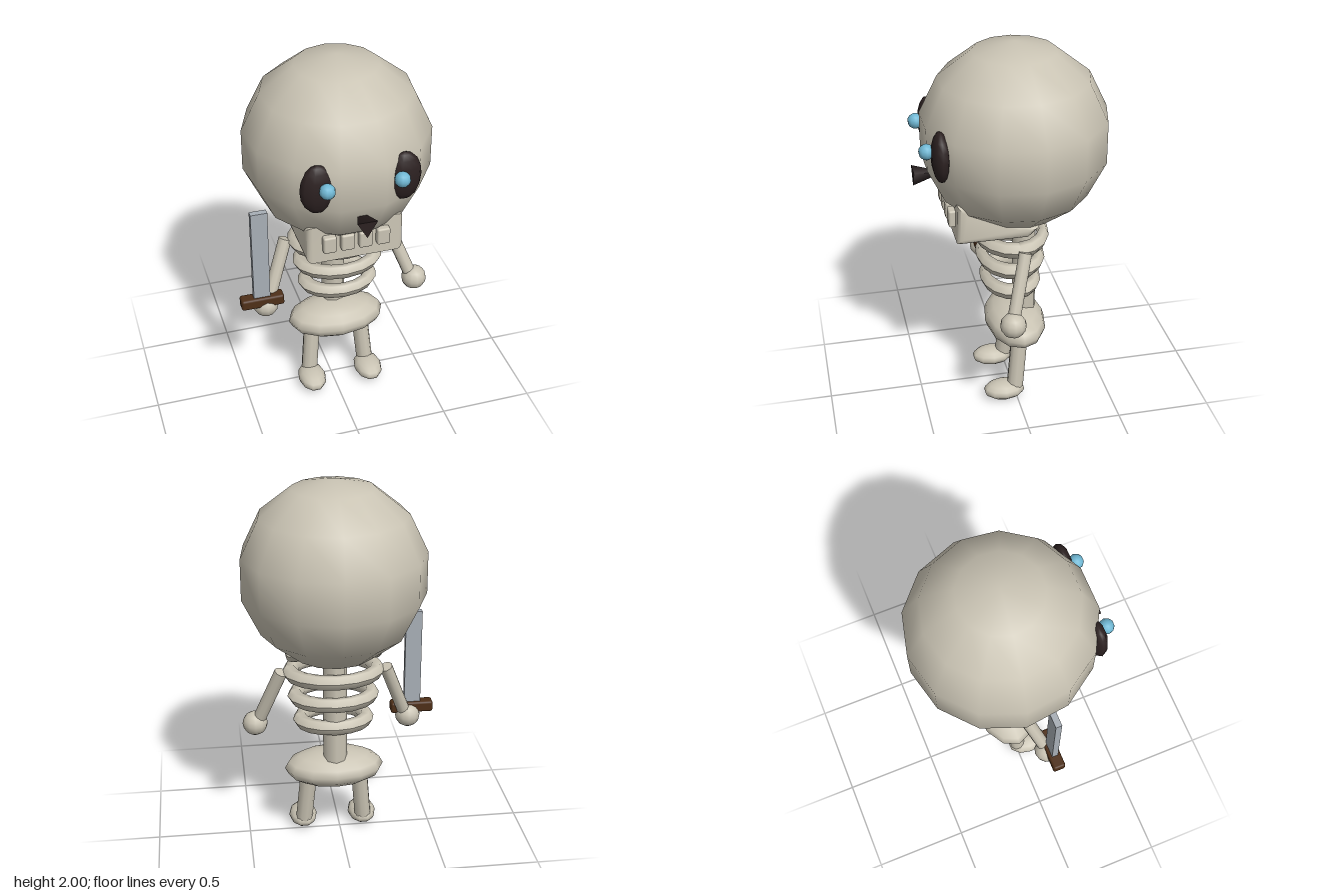
import * as THREE from 'three';
import { toCreasedNormals } from 'three/addons/utils/BufferGeometryUtils.js';
import { RoundedBoxGeometry } from 'three/addons/geometries/RoundedBoxGeometry.js';

const mat = (name, color) => {
  const m = new THREE.MeshStandardMaterial({ color });
  m.name = name;
  return m;
};

export function createModel() {
  const bone = mat('bone', 0xcac4b4);
  const dark = mat('socket black', 0x2c2121);
  const blue = mat('eye blue', 0x70b8d4);
  const steel = mat('steel', 0xa8afb7);
  const wood = mat('wood', 0x4e2f18);

  const root = new THREE.Group();
  root.name = 'skeleton';
  const MID = 0.034; // the body's mirror plane

  const add = (name, geo, material, x, y, z) => {
    const m = new THREE.Mesh(geo, material);
    m.name = name;
    m.position.set(x, y, z);
    root.add(m);
    return m;
  };
  const ellipsoid = (name, material, [x, y, z], [rx, ry, rz], w = 12, h = 8) => {
    const m = add(name, new THREE.SphereGeometry(1, w, h), material, x, y, z);
    m.scale.set(rx, ry, rz);
    return m;
  };
  // Straight bone between two points
  const limb = (name, a, b, r) => {
    const from = new THREE.Vector3(...a), to = new THREE.Vector3(...b);
    const dir = to.clone().sub(from);
    const c = from.clone().add(to).multiplyScalar(0.5);
    const m = add(name, new THREE.CylinderGeometry(r, r, dir.length(), 10), bone, c.x, c.y, c.z);
    m.quaternion.setFromUnitVectors(new THREE.Vector3(0, 1, 0), dir.normalize());
    return m;
  };

  // Skull
  add('skull', new THREE.SphereGeometry(0.49, 13, 7).rotateY(-Math.PI / 2), bone, MID, 1.51, -0.022);

  // Nose: three-sided cone, point sunk into the skull
  const nose = new THREE.ConeGeometry(0.06, 0.16, 3).rotateX(-Math.PI / 2);
  nose.computeBoundingBox();
  const up = nose.boundingBox.max.y > -nose.boundingBox.min.y;
  if (up) nose.rotateZ(Math.PI);
  add('nose', nose, dark, MID, 1.33, 0.42);

  // Jaw: side profile (z, y) extruded across the face
  const bevel = 0.03, jawWidth = 0.505;
  const jawShape = new THREE.Shape([
    [0.29, 1.065], [0.285, 1.215], [0.265, 1.215], [0.16, 1.15],
    [0.01, 1.09], [-0.06, 1.08], [-0.035, 1.065],
  ].map(([z, y]) => new THREE.Vector2(z, y)));
  const jawGeo = new THREE.ExtrudeGeometry(jawShape, {
    depth: jawWidth - 2 * bevel, bevelEnabled: true,
    bevelThickness: bevel, bevelSize: bevel, bevelSegments: 3,
  });
  jawGeo.translate(0, 0, bevel - jawWidth / 2).rotateY(-Math.PI / 2);
  // The extrusion runs along -x after turning, so centre it exactly
  jawGeo.computeBoundingBox();
  jawGeo.translate(-(jawGeo.boundingBox.max.x + jawGeo.boundingBox.min.x) / 2, 0, 0);
  add('jaw', toCreasedNormals(jawGeo, 0.8), bone, MID, 0, 0);

  // Teeth
  for (let i = 0; i < 4; i++) {
    add('tooth', new RoundedBoxGeometry(0.068, 0.092, 0.06, 2, 0.01), bone,
      MID + (i - 1.5) * 0.093, 1.146, 0.32);
  }

  // Spine, ribs and pelvis
  add('spine', new THREE.CylinderGeometry(0.064, 0.064, 0.82, 8), bone, MID, 0.79, -0.075);
  [[0.96, 0.23], [0.82, 0.203], [0.68, 0.176]].forEach(([y, r]) => {
    const ring = new THREE.TorusGeometry(r, 0.042, 6, 16).rotateX(Math.PI / 2);
    ring.scale(1, 1, 0.74);
    ring.computeVertexNormals();
    add('rib', ring, bone, MID, y, 0.002);
  });
  ellipsoid('pelvis', bone, [MID, 0.4, -0.025], [0.268, 0.1, 0.163], 12, 8);

  // Mirrored parts: s = 1 is the model's left
  for (const s of [1, -1]) {
    const side = s > 0 ? 'left' : 'right';
    const X = (d) => MID + s * d;
    ellipsoid(side + 'EyeSocket', dark, [X(0.217), 1.52, 0.388], [0.088, 0.132, 0.048], 10, 8);
    ellipsoid(side + 'Pupil', blue, [X(0.186), 1.54, 0.452], [0.04, 0.04, 0.04], 10, 8);
    limb(side + 'Arm', [X(0.278), 0.97, -0.02], [X(0.4), 0.65, 0.068], 0.035);
    ellipsoid(side + 'Hand', bone, [X(0.417), 0.635, 0.073], [0.068, 0.066, 0.068], 12, 8);
    limb(side + 'Leg', [X(0.136), 0.38, -0.024], [X(0.164), 0.06, 0.008], 0.045);
    ellipsoid(side + 'Foot', bone, [X(0.165), 0.05, 0.068], [0.077, 0.05, 0.113], 10, 8);
  }

  // Sword in the right hand
  add('swordBlade', new THREE.BoxGeometry(0.088, 0.545, 0.034), steel, -0.408, 0.963, 0.09);
  add('swordGuard', new RoundedBoxGeometry(0.23, 0.06, 0.068, 2, 0.012), wood, -0.406, 0.68, 0.09);

  return root;
}
